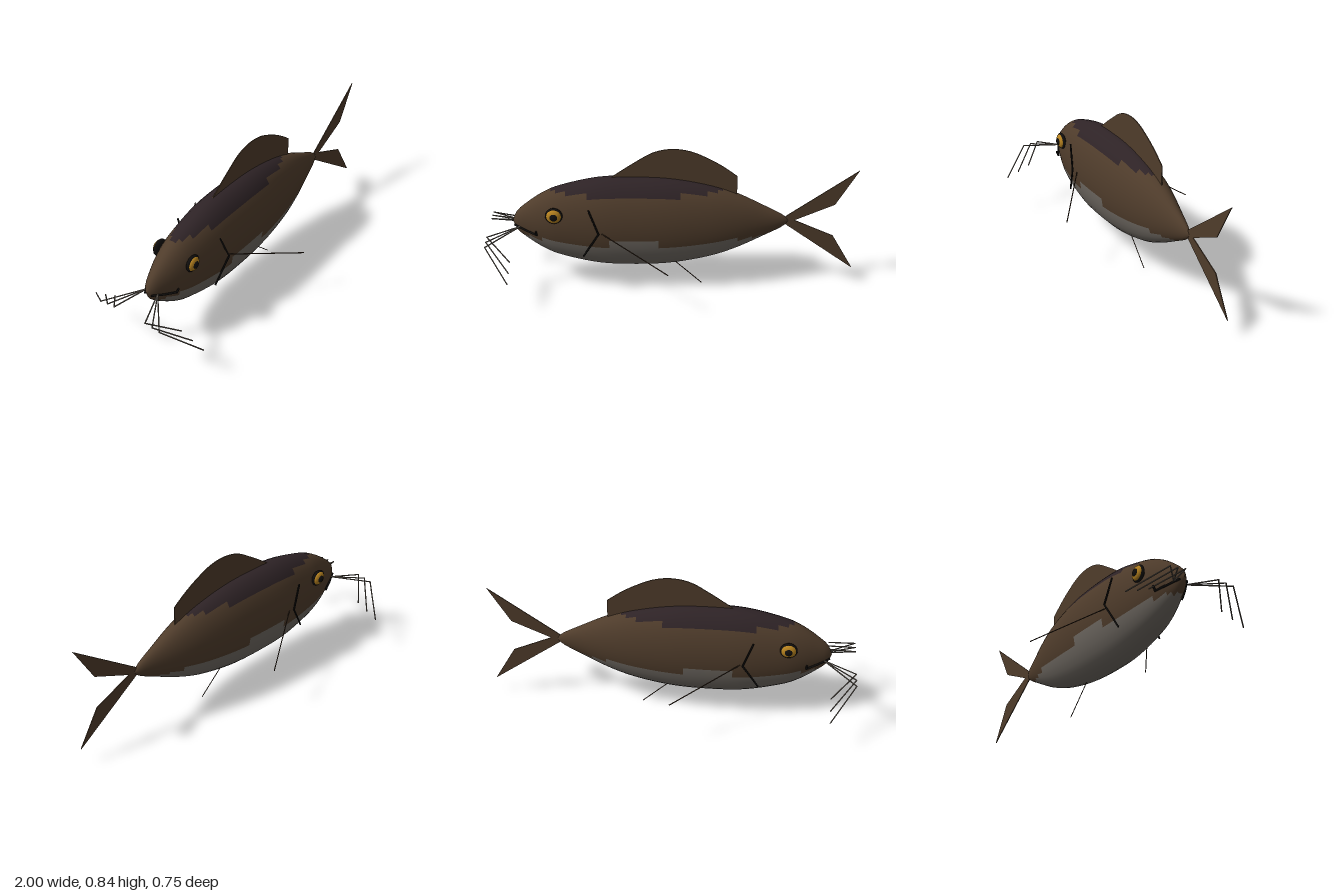
import * as THREE from 'three';

const mat = (name, color, side = THREE.FrontSide) => {
  const m = new THREE.MeshStandardMaterial({ color, side });
  m.name = name;
  return m;
};
const brown = mat('brown skin', 0x4f3c2b);
const fin = mat('brown fin', 0x4f3c2b, THREE.DoubleSide);
const dark = mat('dark back', 0x2e2326);
const pale = mat('pale belly', 0x6e6861);
const gray = mat('whisker gray', 0x6a6259);
const black = mat('black', 0x100e0d);
const gold = mat('gold iris', 0xb98420);
const ray = mat('dark fin ray', 0x3a2a1e);

const MID = 0.405;   // height of the body axis

function add(parent, name, geometry, material) {
  const mesh = new THREE.Mesh(geometry, material);
  mesh.name = name;
  parent.add(mesh);
  return mesh;
}

// Elliptical body along x, faces coloured by their height
function bodyGeometry() {
  const outline = new THREE.SplineCurve([
    [-0.862, 0.001], [-0.84, 0.055], [-0.785, 0.105], [-0.7, 0.165], [-0.6, 0.21],
    [-0.4, 0.257], [-0.2, 0.267], [0, 0.257], [0.2, 0.218], [0.35, 0.165],
    [0.5, 0.09], [0.6, 0.036], [0.633, 0.001],
  ].map(p => new THREE.Vector2(...p)));
  const rings = outline.getSpacedPoints(56), sides = 32;
  const pos = [], faces = [[], [], []];
  for (const p of rings) {
    for (let j = 0; j < sides; j++) {
      const a = j / sides * Math.PI * 2;
      pos.push(p.x, MID + p.y * Math.cos(a), 0.525 * p.y * Math.sin(a));
    }
  }
  for (let i = 0; i < rings.length - 1; i++) {
    for (let j = 0; j < sides; j++) {
      const k = (j + 1) % sides;
      const a = i * sides + j, b = i * sides + k, c = a + sides, d = b + sides;
      const y = (pos[a * 3 + 1] + pos[b * 3 + 1] + pos[c * 3 + 1] + pos[d * 3 + 1]) / 4;
      faces[y > 0.597 ? 1 : y < 0.329 ? 2 : 0].push(a, b, c, b, d, c);
    }
  }
  const g = new THREE.BufferGeometry();
  g.setAttribute('position', new THREE.Float32BufferAttribute(pos, 3));
  g.setIndex(faces.flat());
  let start = 0;
  faces.forEach((f, m) => { g.addGroup(start, f.length, m); start += f.length; });
  g.computeVertexNormals();
  return g;
}

// Thin plate in the xy plane
function plate(shape) {
  const g = new THREE.ExtrudeGeometry(shape, { depth: 0.005, bevelEnabled: false, curveSegments: 24 });
  return g.translate(0, 0, -0.0025);
}

// Straight rods joining a list of points
function rods(parent, name, points, radius, material) {
  const group = new THREE.Group();
  group.name = name;
  parent.add(group);
  const v = points.map(p => new THREE.Vector3(...p));
  for (let i = 0; i < v.length - 1; i++) {
    const dir = v[i + 1].clone().sub(v[i]);
    const rod = add(group, name + 'Segment',
      new THREE.CylinderGeometry(radius, radius, dir.length() + radius, 6), material);
    rod.position.copy(v[i]).add(v[i + 1]).multiplyScalar(0.5);
    rod.quaternion.setFromUnitVectors(new THREE.Vector3(0, 1, 0), dir.normalize());
  }
}

export function createModel() {
  const fish = new THREE.Group();
  fish.name = 'fish';
  add(fish, 'body', bodyGeometry(), [brown, dark, pale]);

  // Dorsal fin
  const dorsal = new THREE.Shape();
  dorsal.moveTo(0.35, 0.5);
  dorsal.lineTo(0.35, 0.675);
  dorsal.splineThru([[0.28, 0.728], [0.2, 0.777], [0.1, 0.822], [0, 0.836], [-0.1, 0.815],
    [-0.2, 0.755], [-0.28, 0.7], [-0.35, 0.65]].map(p => new THREE.Vector2(...p)));
  dorsal.lineTo(-0.35, 0.5);
  add(fish, 'dorsalFin', plate(dorsal), fin);

  // Forked tail
  for (const s of [1, -1]) {
    const lobe = new THREE.Shape([[0.59, 0], [0.625, 0.03], [0.998, 0.303], [0.88, 0.097], [0.665, 0]]
      .map(([x, y]) => new THREE.Vector2(x, MID + 0.002 + s * y)));
    add(fish, s > 0 ? 'upperTailLobe' : 'lowerTailLobe', plate(lobe), fin);
  }

  rods(fish, 'pelvicFinRay', [[-0.01, 0.17, 0], [0.165, 0.003, 0]], 0.0025, ray);

  // Paired parts
  for (const s of [1, -1]) {
    const side = s > 0 ? 'left' : 'right';
    const half = new THREE.Group();
    half.name = side + 'Details';
    fish.add(half);
    const line = (name, pts, r, m) =>
      rods(half, side + name, pts.map(([x, y, z]) => [x, y, z * s]), r, m);

    line('PectoralFinRay', [[-0.38, 0.398, 0.13], [-0.02, 0.287, 0.37]], 0.003, ray);
    line('GillLine', [[-0.44, 0.54, 0.139], [-0.39, 0.405, 0.154], [-0.475, 0.255, 0.128]], 0.005, black);
    line('Mouth', [[-0.85, 0.388, 0.022], [-0.79, 0.372, 0.055], [-0.73, 0.359, 0.083],
      [-0.73, 0.383, 0.093]], 0.006, black);

    // Barbels
    [[0.19, 0.345, 0.355, 0.22], [0.145, 0.35, 0.287, 0.245], [0.1, 0.355, 0.22, 0.272]]
      .forEach(([kz, ky, ez, ey]) =>
        line('Whisker', [[-0.82, 0.385, 0.035], [-0.996, ky, kz], [-0.865, ey, ez]], 0.0035, gray));

    // Eye: rim, iris and pupil as flattened domes
    [['EyeRim', 0.047, 0.018, 0.107, black], ['Iris', 0.04, 0.02, 0.113, gold],
      ['Pupil', 0.024, 0.018, 0.121, black]].forEach(([name, r, depth, z, m]) => {
      const dome = add(half, side + name, new THREE.SphereGeometry(1, 24, 16), m);
      dome.scale.set(r, r, depth);
      dome.position.set(-0.628, 0.492, z * s);
    });
  }
  return fish;
}
